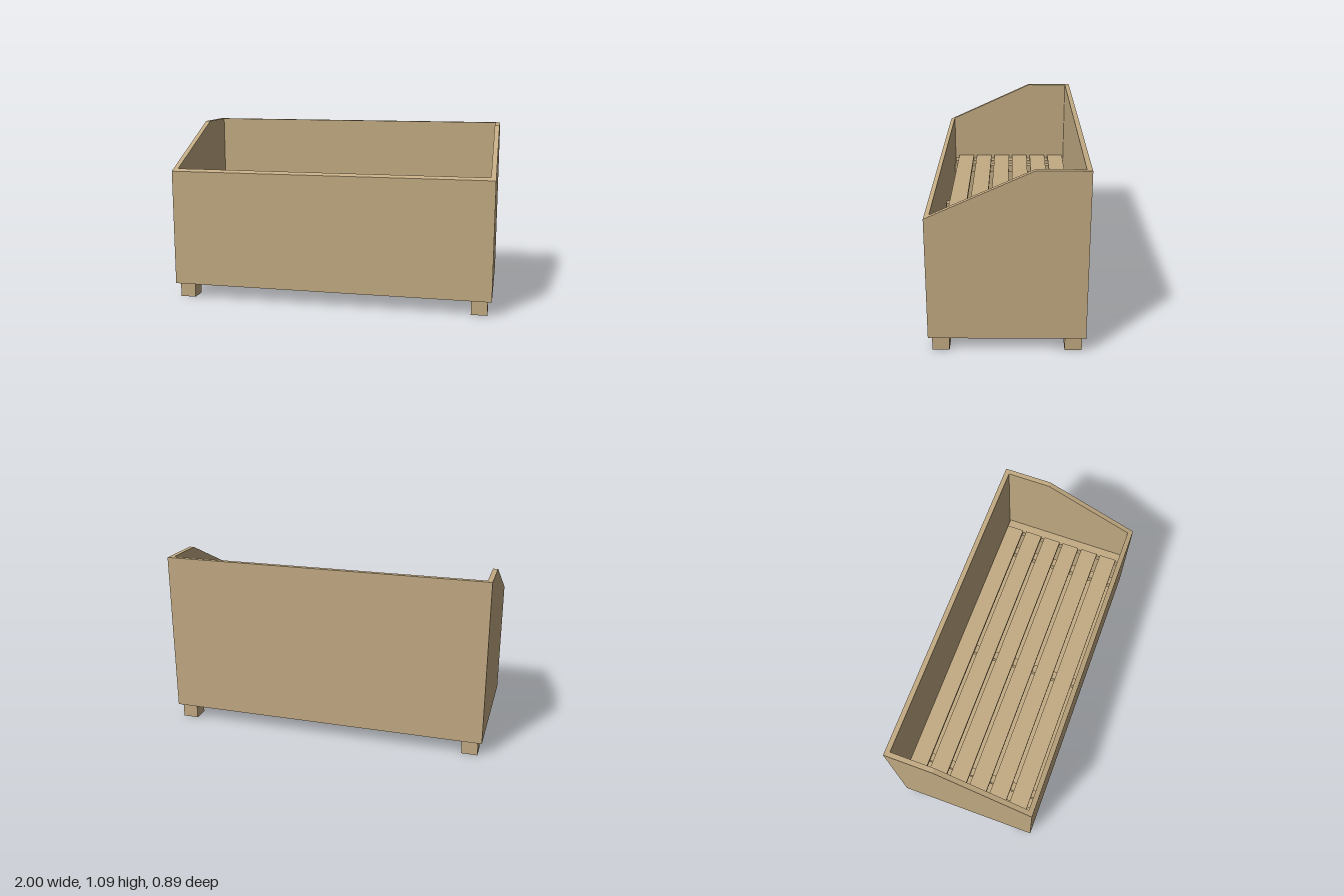
import * as THREE from 'three';

const wood = new THREE.MeshStandardMaterial({ color: 0xc3ab83 });
wood.name = 'light wood';

export function createModel() {
  const model = new THREE.Group();
  model.name = 'planterBox';

  const add = (name, geometry, x, y, z) => {
    const mesh = new THREE.Mesh(geometry, wood);
    mesh.name = name;
    mesh.position.set(x, y, z);
    model.add(mesh);
  };
  // box given by its extents on each axis
  const box = (name, [x0, x1], [y0, y1], [z0, z1]) =>
    add(name, new THREE.BoxGeometry(x1 - x0, y1 - y0, z1 - z0),
      (x0 + x1) / 2, (y0 + y1) / 2, (z0 + z1) / 2);
  // panel with a (z, y) outline, extruded along x
  const panel = (name, outline, x, width) => {
    const shape = new THREE.Shape(outline.map(([z, y]) => new THREE.Vector2(z, y)));
    const geometry = new THREE.ExtrudeGeometry(shape, { depth: width, bevelEnabled: false });
    geometry.translate(0, 0, -width / 2).rotateY(-Math.PI / 2);
    add(name, geometry, x, 0, 0);
  };

  const bottom = 0.09, top = 1.09, frontTop = 0.817;
  const depth = 0.447, wall = 0.03, inner = depth - wall;
  const slope = (top - frontTop) / (depth + 0.147);

  // sides with sloping shoulders
  for (const s of [-1, 1]) {
    panel(s > 0 ? 'leftSide' : 'rightSide', [
      [-depth, bottom], [depth, bottom], [depth, frontTop], [-0.147, top], [-depth, top],
    ], s * (1 - wall / 2), wall);
  }

  // front with a bevelled top edge, back and floor
  const innerWidth = 2 - 2 * wall;
  panel('front', [
    [inner, bottom], [depth, bottom], [depth, frontTop], [inner, frontTop + wall * slope],
  ], 0, innerWidth);
  box('back', [-0.97, 0.97], [bottom, top], [-depth, -inner]);
  box('floor', [-0.97, 0.97], [bottom, bottom + wall], [-inner, inner]);

  // feet
  for (const x of [-0.927, 0.927]) {
    for (const z of [-0.377, 0.377]) {
      box('foot', [x - 0.049, x + 0.049], [0, bottom], [z - 0.049, z + 0.049]);
    }
  }

  // bearers under the slats
  const slatTop = 0.535, slatBase = 0.51;
  for (const [x0, x1] of [[-0.97, -0.905], [-0.84, -0.79], [-0.055, -0.005], [0.73, 0.78], [0.907, 0.97]]) {
    box('bearer', [x0, x1], [slatBase - 0.05, slatBase], [-0.412, 0.412]);
  }

  // inner shelf slats
  for (let i = 0; i < 6; i++) {
    const z = -0.407 + i * 0.1365;
    box('slat', [-0.963, 0.907], [slatBase, slatTop], [z, z + 0.113]);
  }

  return model;
}
